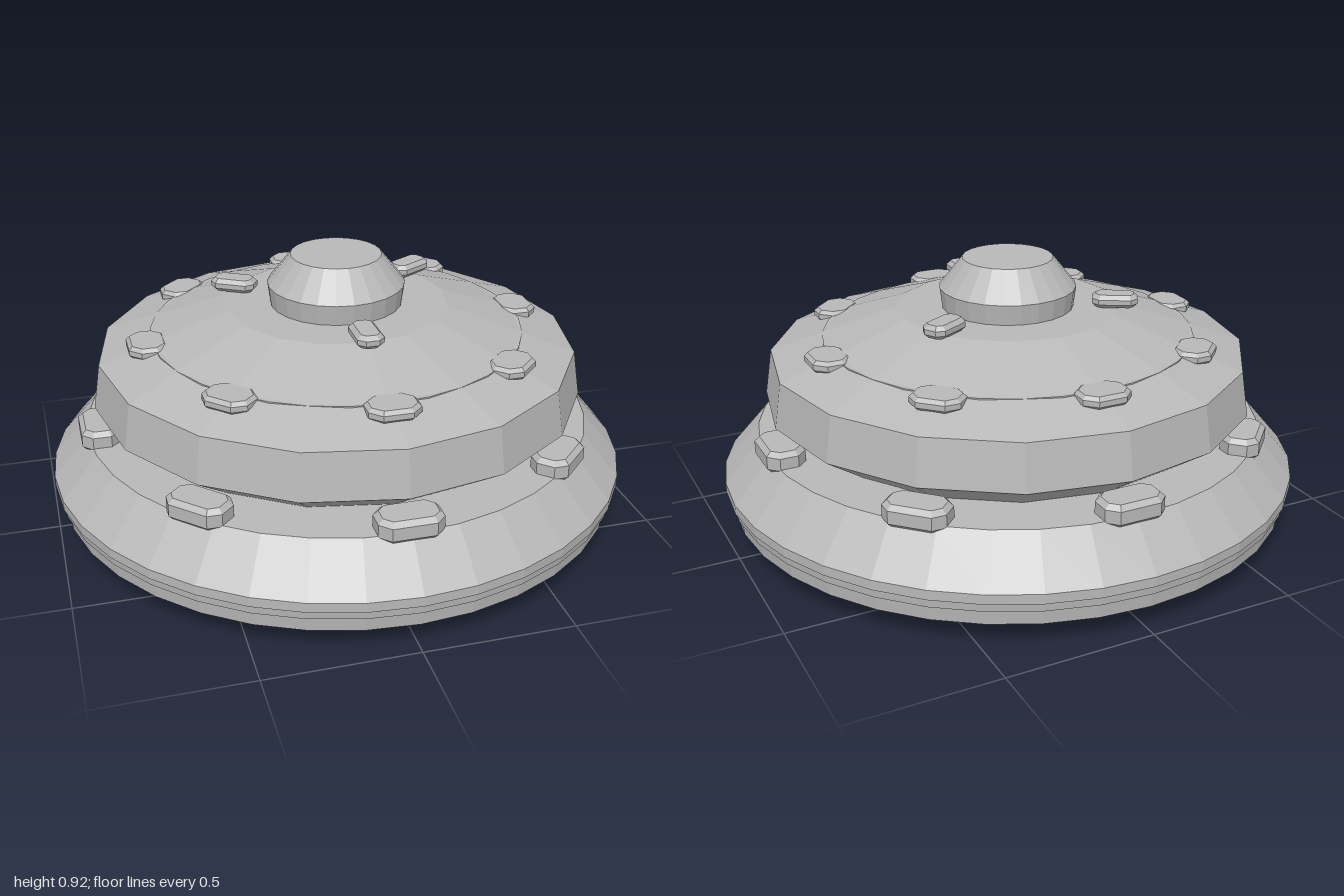
import * as THREE from 'three';

const grey = new THREE.MeshStandardMaterial({ color: 0xb8b8b8, flatShading: true });
grey.name = 'plain grey';

// Solid of revolution from [radius, height] pairs, listed bottom to top
function turned(name, profile, sides) {
  const points = profile.map(([r, y]) => new THREE.Vector2(r, y));
  const mesh = new THREE.Mesh(new THREE.LatheGeometry(points, sides), grey);
  mesh.name = name;
  return mesh;
}

// Block with cut corners in plan and bevelled top and bottom, centred on the origin
function lugGeometry(width, height, depth, cut, bevel) {
  const w = width / 2 - bevel, d = depth / 2 - bevel;
  const shape = new THREE.Shape([
    [w - cut, -d], [w, -d + cut], [w, d - cut], [w - cut, d],
    [-w + cut, d], [-w, d - cut], [-w, -d + cut], [-w + cut, -d],
  ].map(([x, y]) => new THREE.Vector2(x, y)));
  const geometry = new THREE.ExtrudeGeometry(shape, {
    depth: height - 2 * bevel, bevelEnabled: true,
    bevelThickness: bevel, bevelSize: bevel, bevelSegments: 1,
  });
  geometry.translate(0, 0, bevel - height / 2);
  return geometry.rotateX(-Math.PI / 2);
}

// Evenly spaced ring of lugs, the first one facing +z
function lugRing(name, count, radius, y, geometry) {
  const ring = new THREE.Group();
  ring.name = name + 'Ring';
  for (let i = 0; i < count; i++) {
    const angle = (i / count) * Math.PI * 2;
    const lug = new THREE.Mesh(geometry, grey);
    lug.name = name;
    lug.position.set(Math.sin(angle) * radius, y, Math.cos(angle) * radius);
    lug.rotation.y = angle;
    ring.add(lug);
  }
  return ring;
}

export function createModel() {
  const model = new THREE.Group();
  model.name = 'tieredDome';

  // Wide round base with a stepped rim
  model.add(turned('base', [
    [0, 0], [0.82, 0], [0.975, 0.085], [0.98, 0.135], [0.99, 0.137],
    [0.993, 0.165], [1, 0.167], [1, 0.2], [0.875, 0.345], [0, 0.345],
  ], 36));

  // Faceted middle tier, overhanging the base
  model.add(turned('middleTier', [
    [0, 0.34], [0.695, 0.34], [0.845, 0.445], [0.82, 0.6], [0.38, 0.75], [0, 0.75],
  ], 16));

  // Thin round band just breaking through the sloped roof
  model.add(turned('roofBand', [[0, 0.64], [0.64, 0.64], [0.64, 0.662], [0, 0.662]], 32));

  // Cap on top
  model.add(turned('cap', [
    [0, 0.74], [0.225, 0.74], [0.235, 0.82], [0.155, 0.92], [0, 0.92],
  ], 24));

  // Lugs on each tier
  model.add(lugRing('baseLug', 8, 0.835, 0.362, lugGeometry(0.21, 0.075, 0.13, 0.025, 0.016)));
  model.add(lugRing('roofLug', 8, 0.655, 0.654, lugGeometry(0.17, 0.042, 0.13, 0.03, 0.012)));
  model.add(lugRing('topLug', 3, 0.367, 0.775, lugGeometry(0.09, 0.045, 0.155, 0.015, 0.014)));

  return model;
}
